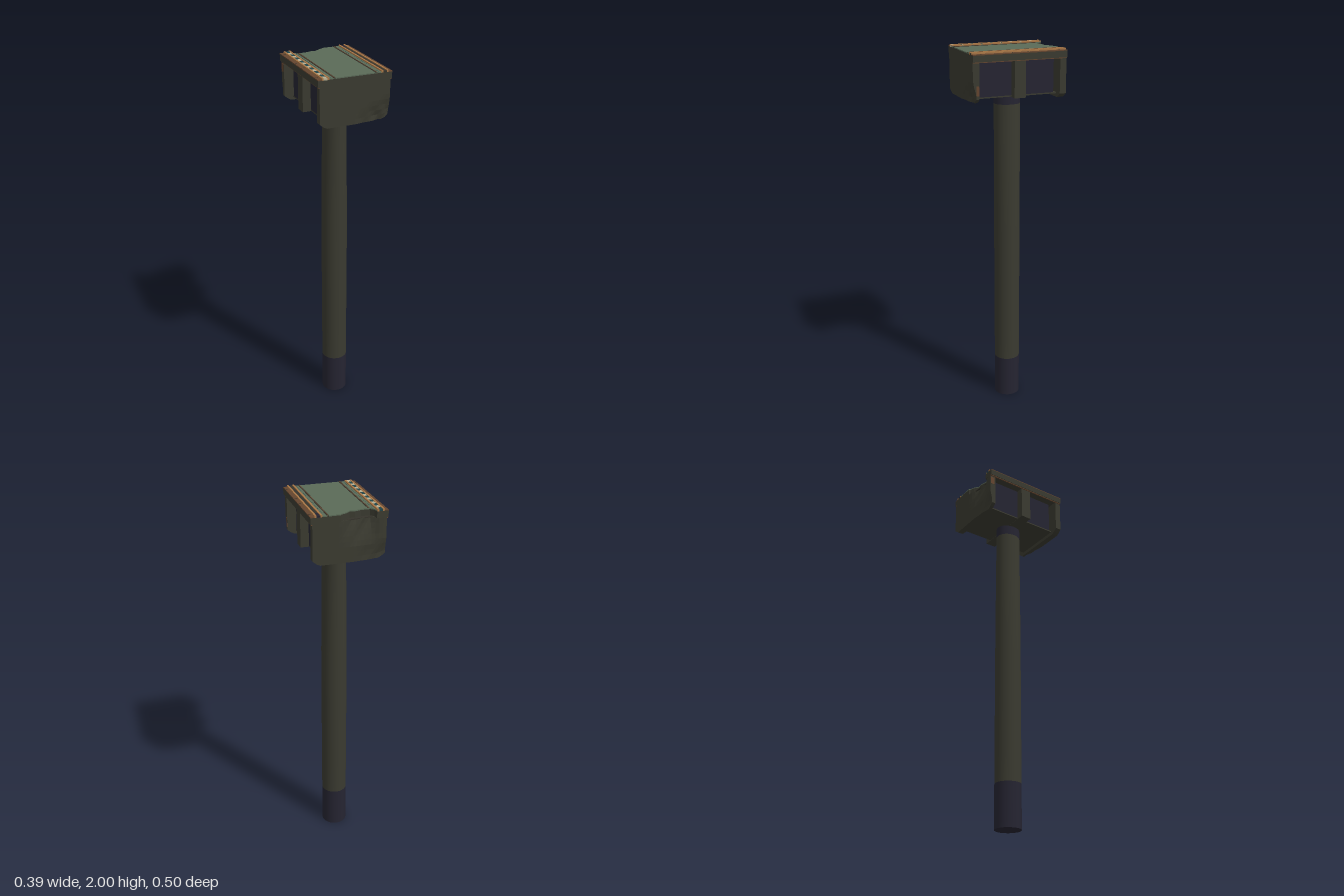
import * as THREE from 'three';

const mat = (name, color) => {
  const m = new THREE.MeshStandardMaterial({ color });
  m.name = name;
  return m;
};

export function createModel() {
  const olive = mat('olive concrete', 0x3a3a30);
  const oliveFlat = olive.clone();
  oliveFlat.flatShading = true;
  const navy = mat('dark navy', 0x252431);
  const green = mat('road green', 0x5a6a57);
  const orange = mat('kerb orange', 0xa87646);
  const brown = mat('rust brown', 0x64452f);
  const teal = mat('stripe teal', 0x20454a);
  const cream = mat('stripe cream', 0xb4ae92);
  const dark = mat('gutter dark', 0x35332b);

  const root = new THREE.Group();
  root.name = 'bridgePier';
  const add = (name, geo, m) => {
    const mesh = new THREE.Mesh(geo, m);
    mesh.name = name;
    root.add(mesh);
    return mesh;
  };
  // box given by its limits on each axis
  const box = (name, m, x0, x1, y0, y1, z0, z1) => {
    const g = new THREE.BoxGeometry(x1 - x0, y1 - y0, z1 - z0);
    g.translate((x0 + x1) / 2, (y0 + y1) / 2, (z0 + z1) / 2);
    return add(name, g, m);
  };

  // column: round at the foot, narrowing in x only towards the top
  const narrow = y => 1 - 0.13 * THREE.MathUtils.clamp((y - 1.1) / 0.6, 0, 1);
  const columnPart = (name, m, y0, y1) => {
    const g = new THREE.CylinderGeometry(0.07, 0.07, y1 - y0, 32, 8);
    g.translate(0, (y0 + y1) / 2, 0);
    const p = g.attributes.position;
    for (let i = 0; i < p.count; i++) p.setX(i, p.getX(i) * narrow(p.getY(i)));
    g.computeVertexNormals();
    add(name, g, m);
  };
  columnPart('columnFoot', navy, 0, 0.235);
  columnPart('columnShaft', olive, 0.235, 1.71);
  columnPart('columnCollar', navy, 1.71, 1.775);

  // girder core with a dark soffit and upright ribs
  box('girderCore', navy, -0.14, 0.14, 1.775, 1.956, -0.2, 0.2);
  box('soffit', olive, -0.14, 0.14, 1.768, 1.775, -0.215, 0.215);
  box('middleRib', olive, -0.183, 0.183, 1.766, 1.956, -0.03, 0.03);
  for (const s of [-1, 1]) {
    const edge = s * 0.184;
    box('flangeTrim', brown, Math.min(edge, edge + s * 0.006), Math.max(edge, edge + s * 0.006),
      1.952, 1.957, -0.25, 0.25);
  }

  // end walls: chamfered bottom corners, outer face dented by a rule
  const endWall = (name, side, dent) => {
    const g = new THREE.BoxGeometry(0.37, 0.208, 0.034, 20, 8, 1);
    const p = g.attributes.position;
    for (let i = 0; i < p.count; i++) {
      const x = p.getX(i);
      let y = p.getY(i) + 1.854;
      const outer = p.getZ(i) * side > 0;
      const chamfer = Math.max(0, Math.abs(x) - 0.155);
      y += chamfer * 0.8 * Math.max(0, (1.8 - y) / 0.05);
      p.setXYZ(i, x, y, side * (outer ? 0.25 - dent(x, y) : 0.216));
    }
    add(name, g, oliveFlat);
  };
  const ripple = (x, y) => 0.8 + 0.2 * Math.sin(x * 71 + y * 53);
  const ramp = (v, a, b) => THREE.MathUtils.clamp((v - a) / (b - a), 0, 1);
  endWall('frontEndWall', 1, (x, y) =>
    0.022 * ramp(x, 0, 0.13) * ramp(y, 1.87 - 0.06 * (1 - ramp(x, 0, 0.17)), 1.77) * ripple(x, y));
  endWall('backEndWall', -1, (x, y) =>
    0.033 * ramp(y, 1.83, 1.956) * ramp(x, -0.15, -0.11) * ramp(x, 0.05, -0.04) * ripple(x, y) +
    0.018 * ramp(x, -0.02, -0.16) * ramp(y, 1.85, 1.78) * ripple(x, y));

  // deck and road share the broken notch in the back edge
  const notch = [[-0.135, -0.25], [-0.13, -0.225], [-0.115, -0.207], [-0.07, -0.206],
    [-0.035, -0.216], [-0.01, -0.213], [0.015, -0.232], [0.04, -0.243], [0.045, -0.25]];
  const slab = (name, m, half, y, h) => {
    const s = new THREE.Shape();
    s.moveTo(-half, -0.25);
    s.lineTo(half, -0.25);
    s.lineTo(half, 0.25);
    [...notch].reverse().forEach(([x, z]) => s.lineTo(x, -z));
    s.lineTo(-half, 0.25);
    const g = new THREE.ExtrudeGeometry(s, { depth: h, bevelEnabled: false });
    g.rotateX(-Math.PI / 2).translate(0, y, 0);
    add(name, g, m);
  };
  slab('deck', olive, 0.193, 1.956, 0.033);
  slab('roadSurface', green, 0.1355, 1.989, 0.005);
  // crumbled rubble floor inside the notch
  const rubble = new THREE.Shape(notch.slice(1, 8).map(([x, z]) => new THREE.Vector2(x, -z - 0.004)));
  add('brokenFloor', new THREE.ExtrudeGeometry(rubble, { depth: 0.005, bevelEnabled: false })
    .rotateX(-Math.PI / 2).translate(0, 1.954, 0), dark);

  // kerbs, gutters and walkways on both edges
  for (const s of [-1, 1]) {
    const strip = (name, m, a, b, y, z0 = -0.25) =>
      box(name, m, Math.min(s * a, s * b), Math.max(s * a, s * b), 1.988, y, z0, 0.25);
    const roadStart = s < 0 ? -0.205 : -0.25;
    strip('roadSeam', dark, 0.104, 0.113, 1.9955, roadStart);
    strip('roadSeamLine', brown, 0.107, 0.11, 1.997, roadStart);
    strip('innerKerb', orange, 0.136, 0.145, 2);
    strip('outerKerb', orange, 0.164, 0.173, 2);
    strip('edgePanel', brown, 0.173, 0.1928, 1.993);
    for (const z of [-0.21, -0.04, 0.04, 0.206])
      box('panelJoint', dark, s * 0.183 - 0.009, s * 0.183 + 0.009, 1.993, 1.994, z - 0.001, z + 0.001);
    // rivet dots beside the kerb
    for (let i = 0; i < 24; i++)
      box('rivet', teal, s * 0.126 - 0.0015, s * 0.126 + 0.0015, 1.994, 1.995,
        -0.2 + i * 0.019, -0.197 + i * 0.019);
  }
  box('gutter', dark, 0.145, 0.164, 1.988, 1.996, -0.205, 0.25);
  box('gutterEnd', navy, 0.145, 0.164, 1.988, 1.996, -0.25, -0.205);

  // alternating painted blocks on the right kerb
  for (let i = 0; i < 16; i++) {
    const z = -0.25 + i * 0.03125;
    box('kerbBlock', i % 2 ? cream : teal, -0.164, -0.145, 1.988, 1.998, z, z + 0.03125);
  }

  // rust patches on the end walls' sides
  box('rustPatch', brown, 0.184, 0.186, 1.79, 1.84, 0.218, 0.232);
  box('rustPatch', brown, -0.186, -0.184, 1.9, 1.945, -0.246, -0.222);

  return root;
}
